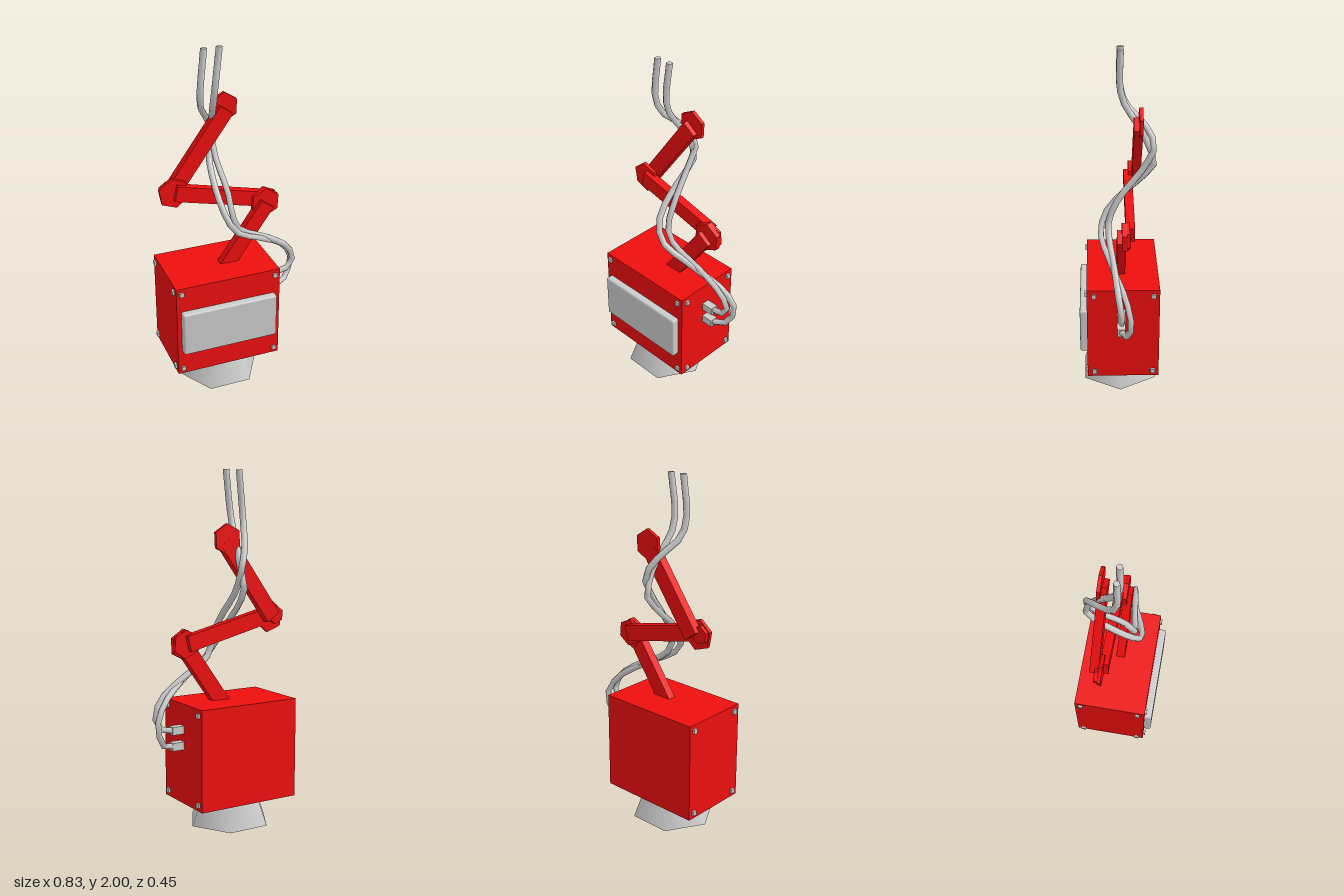
import * as THREE from 'three';
import { RoundedBoxGeometry } from 'three/addons/geometries/RoundedBoxGeometry.js';

const grey = new THREE.MeshStandardMaterial({ color: 0xcccccc });
const red = new THREE.MeshStandardMaterial({ color: 0xee0e0e });

export function createModel() {
  const model = new THREE.Group();

  function add(name, geometry, material, x, y, z) {
    const mesh = new THREE.Mesh(geometry, material);
    mesh.name = name;
    mesh.position.set(x, y, z);
    model.add(mesh);
    return mesh;
  }
  const box = (name, mat, w, h, d, x, y, z) => add(name, new THREE.BoxGeometry(w, h, d), mat, x, y, z);

  // Six-sided flared foot
  add('foot', new THREE.CylinderGeometry(0.183, 0.243, 0.16, 6), grey, -0.09, 0.08, -0.012)
    .rotation.y = Math.PI / 2;

  // Housing and its front panel
  box('housing', red, 0.62, 0.57, 0.41, -0.09, 0.435, -0.025);
  add('frontPanel', new RoundedBoxGeometry(0.565, 0.27, 0.06, 2, 0.012), grey, -0.092, 0.435, 0.191);

  // Corner bolts on the front and both sides
  for (const y of [0.185, 0.685]) {
    for (const x of [-0.37, 0.19]) box('frontBolt', grey, 0.026, 0.026, 0.03, x, y, 0.176);
    for (const z of [0.14, -0.195]) {
      box('leftBolt', grey, 0.03, 0.026, 0.026, 0.217, y, z);
      box('rightBolt', grey, 0.03, 0.026, 0.026, -0.397, y, z);
    }
  }

  // Cable sockets
  for (const y of [0.485, 0.575]) box('socket', grey, 0.09, 0.045, 0.047, 0.245, y, -0.013);

  // Flat arm links, each lying one layer further back
  function link(name, [x1, y1], [x2, y2], z) {
    const dx = x2 - x1, dy = y2 - y1;
    box(name, red, Math.hypot(dx, dy), 0.09, 0.049, (x1 + x2) / 2, (y1 + y2) / 2, z)
      .rotation.z = Math.atan2(dy, dx);
  }
  link('lowerLink', [-0.07, 0.65], [0.213, 1.05], -0.015);
  link('middleLink', [0.21, 1.06], [-0.31, 1.187], -0.0625);
  link('upperLink', [-0.31, 1.18], [0.003, 1.615], -0.11);

  // Hexagonal joint discs, with one corner up
  function disc(name, x, y, zBack, zFront, r, turn) {
    const geometry = new THREE.CylinderGeometry(r, r, zFront - zBack, 6).rotateX(Math.PI / 2);
    const mesh = add(name, geometry.toNonIndexed(), red, x, y, (zBack + zFront) / 2);
    mesh.geometry.computeVertexNormals();
    mesh.rotation.z = turn;
  }
  disc('lowerJoint', 0.21, 1.05, -0.045, -0.016, 0.088, -0.06);
  disc('lowerJointBack', 0.215, 1.055, -0.059, -0.044, 0.08, 0.1);
  disc('middleJoint', -0.317, 1.18, -0.085, -0.065, 0.09, 0.17);
  disc('middleJointBack', -0.345, 1.19, -0.106, -0.084, 0.052, 0.1);
  disc('upperJoint', -0.004, 1.622, -0.134, -0.114, 0.086, -0.05);

  // Two twisted cables from the open top ends down to the sockets
  function cable(name, points) {
    const curve = new THREE.CatmullRomCurve3(points.map((p) => new THREE.Vector3(...p)));
    add(name, new THREE.TubeGeometry(curve, 26, 0.018, 6), grey, 0, 0, 0);
    const [x, y, z] = points[0];
    add(name + 'End', new THREE.CylinderGeometry(0.017, 0.017, 0.02, 6), grey, x, y - 0.01, z);
  }
  cable('upperCable', [
    [-0.15, 2, -0.015], [-0.173, 1.77, -0.015], [-0.16, 1.67, -0.05], [-0.1, 1.575, -0.15],
    [-0.05, 1.47, -0.2], [-0.05, 1.34, -0.14], [-0.025, 1.16, 0.0], [-0.015, 1.03, 0.053],
    [0.03, 0.945, 0.05], [0.2, 0.85, 0.025], [0.34, 0.75, 0.005], [0.385, 0.66, -0.01],
    [0.36, 0.595, -0.013], [0.28, 0.575, -0.013],
  ]);
  cable('lowerCable', [
    [-0.065, 2, -0.015], [-0.092, 1.77, -0.015], [-0.09, 1.67, -0.05], [-0.075, 1.59, -0.11],
    [-0.06, 1.48, -0.165], [-0.065, 1.36, -0.2], [-0.08, 1.27, -0.13], [-0.085, 1.16, -0.01],
    [-0.07, 1.07, 0.065], [-0.015, 0.965, 0.098], [0.17, 0.855, 0.04], [0.33, 0.745, -0.03],
    [0.395, 0.64, -0.06], [0.375, 0.53, -0.055], [0.33, 0.49, -0.03], [0.28, 0.485, -0.013],
  ]);

  return model;
}
